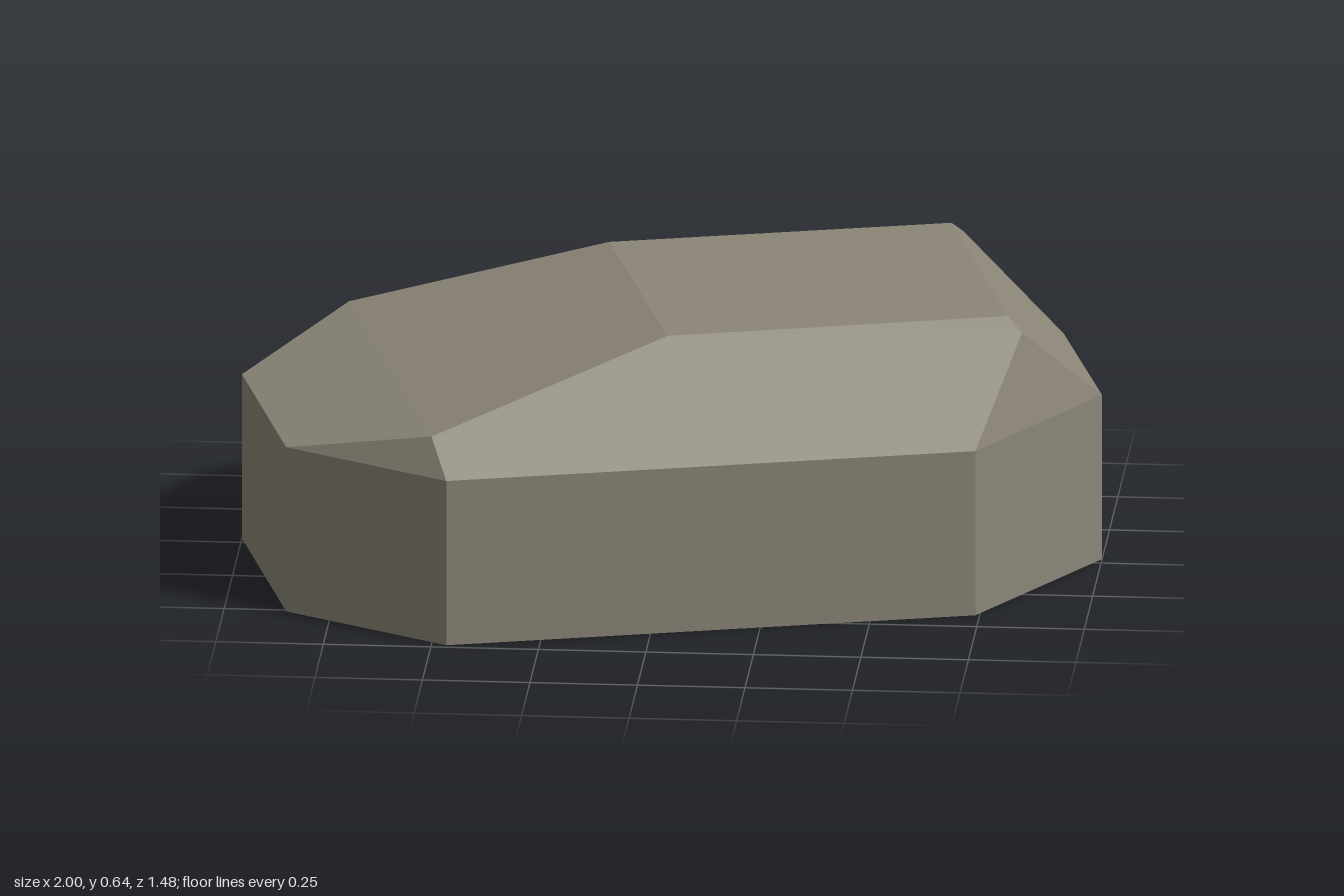
import * as THREE from 'three';
import { ConvexGeometry } from 'three/addons/geometries/ConvexGeometry.js';

export function createModel() {
  const stone = new THREE.MeshStandardMaterial({ color: 0x8c8678 });
  stone.name = 'stone';

  // Eight-sided footprint [x, z], repeated at the ground and at the shoulder
  const footprint = [
    [-1, -0.03], [-0.775, -0.42], [0.43, -0.74], [0.875, -0.485],
    [1, -0.03], [0.74, 0.415], [-0.465, 0.735], [-0.855, 0.51],
  ];
  const shoulderHeight = 0.4;

  // Corners of the bevelled crown [x, y, z]
  const crown = [
    [-0.17, 0.645, -0.335], [0.02, 0.645, 0.36], [0.795, 0.645, 0.15], [0.61, 0.645, -0.54], // flat top
    [-0.775, 0.485, -0.335], [-0.505, 0.485, 0.665], // low end of the slope
    [0.83, 0.613, 0.175], [0.635, 0.613, -0.578], // clipped corners at the steep end
  ];

  const points = crown.map((p) => new THREE.Vector3(...p));
  for (const [x, z] of footprint) {
    points.push(new THREE.Vector3(x, 0, z), new THREE.Vector3(x, shoulderHeight, z));
  }

  const rock = new THREE.Mesh(new ConvexGeometry(points), stone);
  rock.name = 'rock';

  const group = new THREE.Group();
  group.name = 'facetedRock';
  group.add(rock);
  return group;
}
